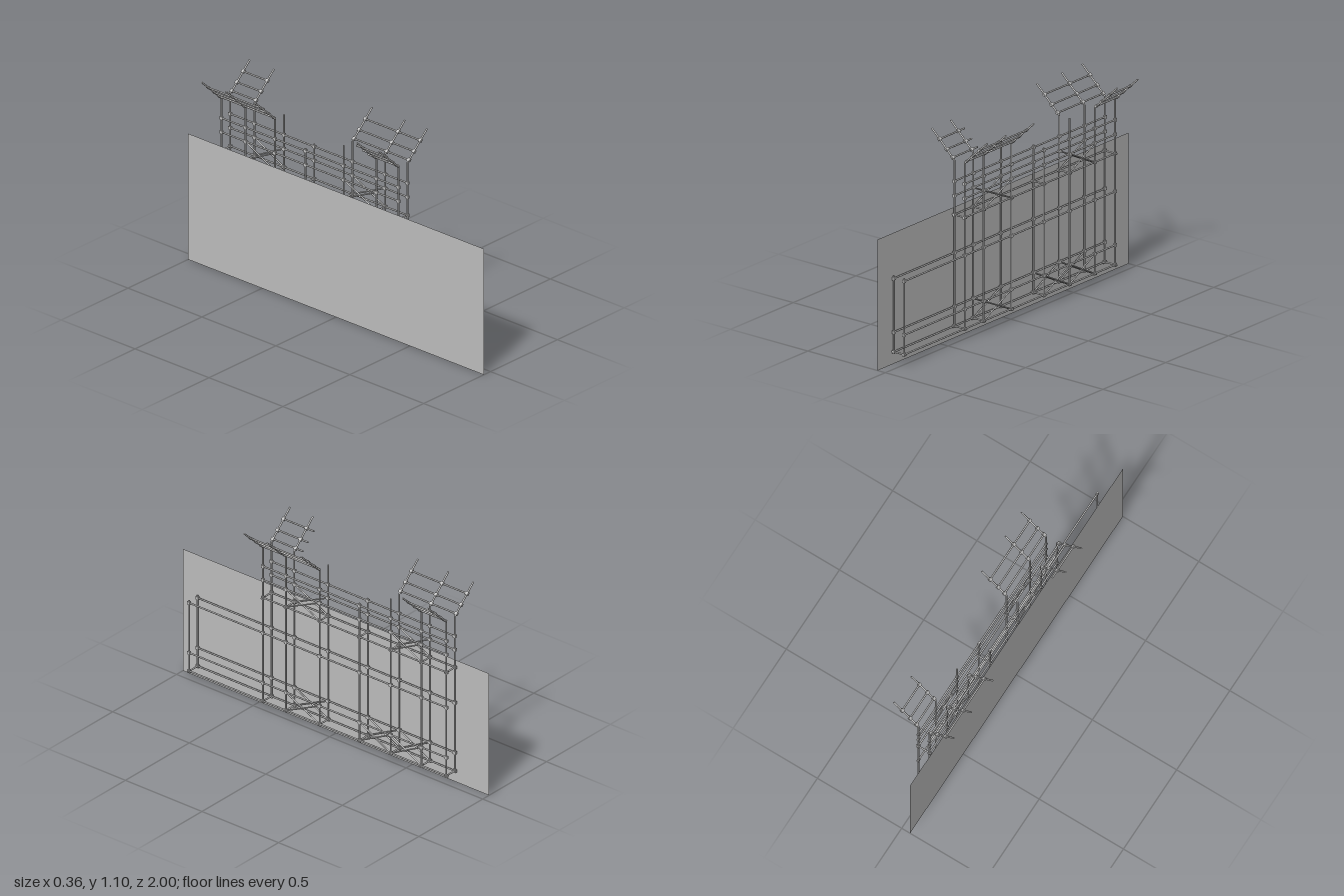
import * as THREE from 'three';

export function createModel() {
  const model = new THREE.Group();
  model.name = 'scaffold';
  const steel = new THREE.MeshStandardMaterial({ color: 0xbdbdbd });
  steel.name = 'light grey';
  const wallGrey = new THREE.MeshStandardMaterial({ color: 0xbdbdbd, side: THREE.DoubleSide });
  wallGrey.name = 'wall grey';

  const R = 0.0045, X = 0.033;
  const up = new THREE.Vector3(0, 1, 0);

  // Round tube between two points
  function tube(name, a, b, r = R) {
    const p = new THREE.Vector3(...a), d = new THREE.Vector3(...b).sub(p);
    const mesh = new THREE.Mesh(new THREE.CylinderGeometry(r, r, d.length(), 10), steel);
    mesh.name = name;
    mesh.position.copy(p).addScaledVector(d, 0.5);
    mesh.quaternion.setFromUnitVectors(up, d.normalize());
    model.add(mesh);
  }
  // Small coupler where tubes meet
  const clampGeo = new THREE.BoxGeometry(0.012, 0.017, 0.017);
  function clamp(x, y, z, tilt = 0) {
    const mesh = new THREE.Mesh(clampGeo, steel);
    mesh.name = 'clamp';
    mesh.position.set(x, y, z);
    mesh.rotation.z = tilt;
    model.add(mesh);
  }

  // Backing wall
  const wall = new THREE.Mesh(new THREE.PlaneGeometry(2, 0.7), wallGrey);
  wall.name = 'wall';
  wall.rotation.y = Math.PI / 2;
  wall.position.set(-0.05, 0.35, 0);
  model.add(wall);

  const posts = [
    { z: 0.89, top: 0.48 }, { z: 0.408, top: 0.96 }, { z: 0.258, top: 0.96 }, { z: 0.037, top: 0.96 },
    { z: -0.222, top: 0.862 }, { z: -0.427, top: 0.96 }, { z: -0.627, top: 0.96 }, { z: -0.79, top: 0.96 },
  ];
  const rails = [
    { y: 0.073, z: 0.89 }, { y: 0.178, z: 0.89 }, { y: 0.465, z: 0.89 },
    { y: 0.668, z: 0.408 }, { y: 0.77, z: 0.408 }, { y: 0.848, z: 0.408 },
  ];

  for (const s of [-1, 1]) {
    // Uprights, rails and couplers
    for (const p of posts) tube('upright', [s * X, 0.063, p.z], [s * X, p.top, p.z]);
    for (const r of rails) {
      tube('rail', [s * X, r.y, r.z + 0.008], [s * X, r.y, -0.798]);
      for (const p of posts) if (p.z <= r.z && r.y < p.top) clamp(s * X, r.y, p.z);
    }
    // Crossed braces
    for (const [z0, z1, y0, y1] of [
      [0.258, 0.037, 0.073, 0.178], [-0.222, -0.427, 0.073, 0.178], [-0.427, -0.627, 0.073, 0.178],
      [0.258, 0.037, 0.668, 0.77], [-0.427, -0.627, 0.668, 0.77],
    ]) {
      tube('brace', [s * X, y0, z0], [s * X, y1, z1], 0.004);
      tube('brace', [s * X, y1, z0], [s * X, y0, z1], 0.004);
    }
    // Outward leaning arms with their rails
    const arm = (t) => [s * (X + 0.146 * t), 0.96 + 0.137 * t];
    const bays = s > 0
      ? [{ zs: [0.408, 0.258, 0.037], end: 0.03 }, { zs: [-0.627, -0.79], end: -0.8 }]
      : [{ zs: [0.408, 0.258], end: 0.21 }, { zs: [-0.427, -0.627, -0.79], end: -0.8 }];
    for (const { zs, end } of bays) {
      for (const z of zs) tube('arm', [...arm(0), z], [...arm(1), z]);
      for (const t of [0.08, 0.34, 0.66]) {
        tube('armRail', [...arm(t), zs[0] + 0.01], [...arm(t), end]);
        for (const z of zs) clamp(...arm(t), z, -s * 0.82);
      }
    }
  }

  // Cross ties joining the two rows
  for (const p of posts) {
    for (const y of [0.073, 0.668]) {
      if (y < p.top) tube('crossTie', [-0.046, y, p.z], [0.046, y, p.z]);
    }
  }
  return model;
}
